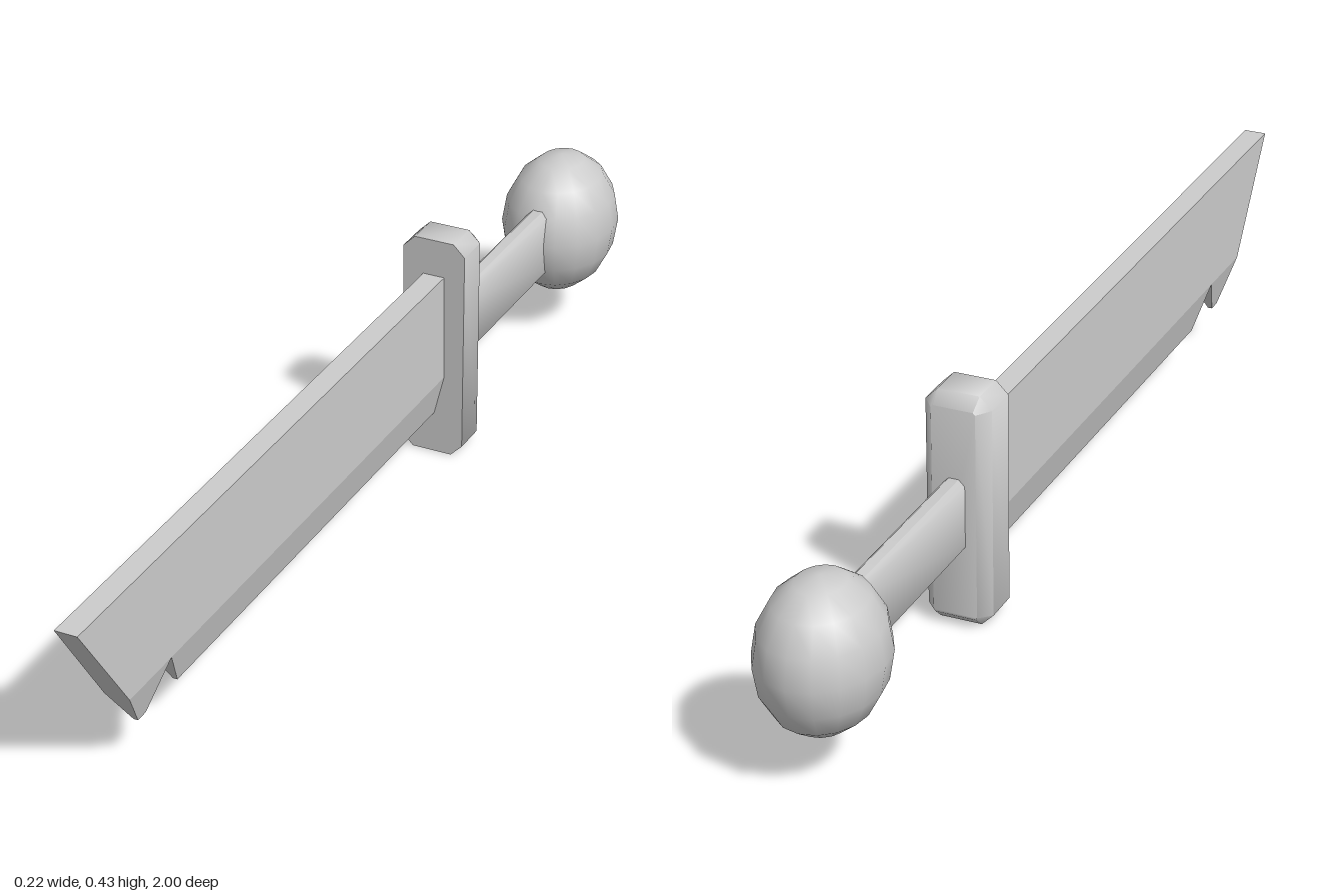
import * as THREE from 'three';
import { mergeGeometries, toCreasedNormals } from 'three/addons/utils/BufferGeometryUtils.js';

const material = new THREE.MeshStandardMaterial({ color: 0xcccccc });
const flatMaterial = new THREE.MeshStandardMaterial({ color: 0xcccccc, flatShading: true });
const MID_Y = 0.215;

// Rectangle with cut corners, as an anticlockwise loop in x and y
function cutRectangle(w, h, c) {
  return [
    [w, -h + c], [w, h - c], [w - c, h], [-w + c, h],
    [-w, h - c], [-w, -h + c], [-w + c, -h], [w - c, -h],
  ];
}

// Joins loops from front to back and caps both ends
function loft(sections, y) {
  const positions = [];
  const index = [];
  const n = sections[0].loop.length;
  for (const { loop, z } of sections) {
    for (const [px, py] of loop) positions.push(px, py + y, z);
  }
  for (let s = 0; s < sections.length - 1; s++) {
    for (let i = 0; i < n; i++) {
      const j = (i + 1) % n;
      const a = s * n + i, b = s * n + j;
      index.push(a, a + n, b, b, a + n, b + n);
    }
  }
  const last = (sections.length - 1) * n;
  for (let i = 1; i < n - 1; i++) {
    index.push(0, i, i + 1, last, last + i + 1, last + i);
  }
  const geometry = new THREE.BufferGeometry();
  geometry.setAttribute('position', new THREE.Float32BufferAttribute(positions, 3));
  geometry.setIndex(index);
  return toCreasedNormals(geometry, 0.95);
}

// Slab cut from a [z, y] outline, whose half thickness follows halfWidth(y)
function slab(outline, halfWidth) {
  const shape = new THREE.Shape(outline.map(([z, y]) => new THREE.Vector2(-z, y)));
  const geometry = new THREE.ExtrudeGeometry(shape, { depth: 2, bevelEnabled: false });
  geometry.translate(0, 0, -1);
  geometry.rotateY(Math.PI / 2);
  const p = geometry.attributes.position;
  for (let i = 0; i < p.count; i++) p.setX(i, Math.sign(p.getX(i)) * halfWidth(p.getY(i)));
  geometry.computeVertexNormals();
  return geometry;
}

export function createModel() {
  const group = new THREE.Group();
  const add = (name, geometry, mat = material) => {
    const mesh = new THREE.Mesh(geometry, mat);
    mesh.name = name;
    group.add(mesh);
    return mesh;
  };

  // Blade: thick upper body, with a notched cutting edge that thins downwards
  const top = 0.36, bevel = 0.158, edge = 0.08, root = -0.32;
  const tipZ = (y) => 0.8 + (0.2 * (y - edge)) / (top - edge);
  const halfWidth = (y) => y >= bevel
    ? THREE.MathUtils.mapLinear(y, bevel, top, 0.023, 0.0205)
    : THREE.MathUtils.mapLinear(y, edge, bevel, 0.004, 0.023);
  add('blade', mergeGeometries([
    slab([[root, top], [1, top], [tipZ(bevel), bevel], [root, bevel]], halfWidth),
    slab([[root, bevel], [0.72, bevel], [0.67, edge], [root, edge]], halfWidth),
    slab([[0.72, bevel], [tipZ(bevel), bevel], [0.8, edge], [0.775, edge]], halfWidth),
  ]), flatMaterial);

  // Guard: flat front, chamfered sides and back
  const outer = cutRectangle(0.06, 0.215, 0.022);
  const inner = cutRectangle(0.04, 0.195, 0.004);
  add('guard', loft([
    { loop: outer, z: -0.3 },
    { loop: outer, z: -0.365 },
    { loop: inner, z: -0.388 },
  ], MID_Y));

  // Grip
  const grip = cutRectangle(0.02, 0.068, 0.011);
  add('grip', loft([{ loop: grip, z: -0.37 }, { loop: grip, z: -0.8 }], MID_Y - 0.002));

  // Pommel
  const pommel = add('pommel', new THREE.SphereGeometry(1, 16, 8));
  pommel.scale.set(0.108, 0.138, 0.13);
  pommel.position.set(0, MID_Y, -0.87);

  return group;
}
